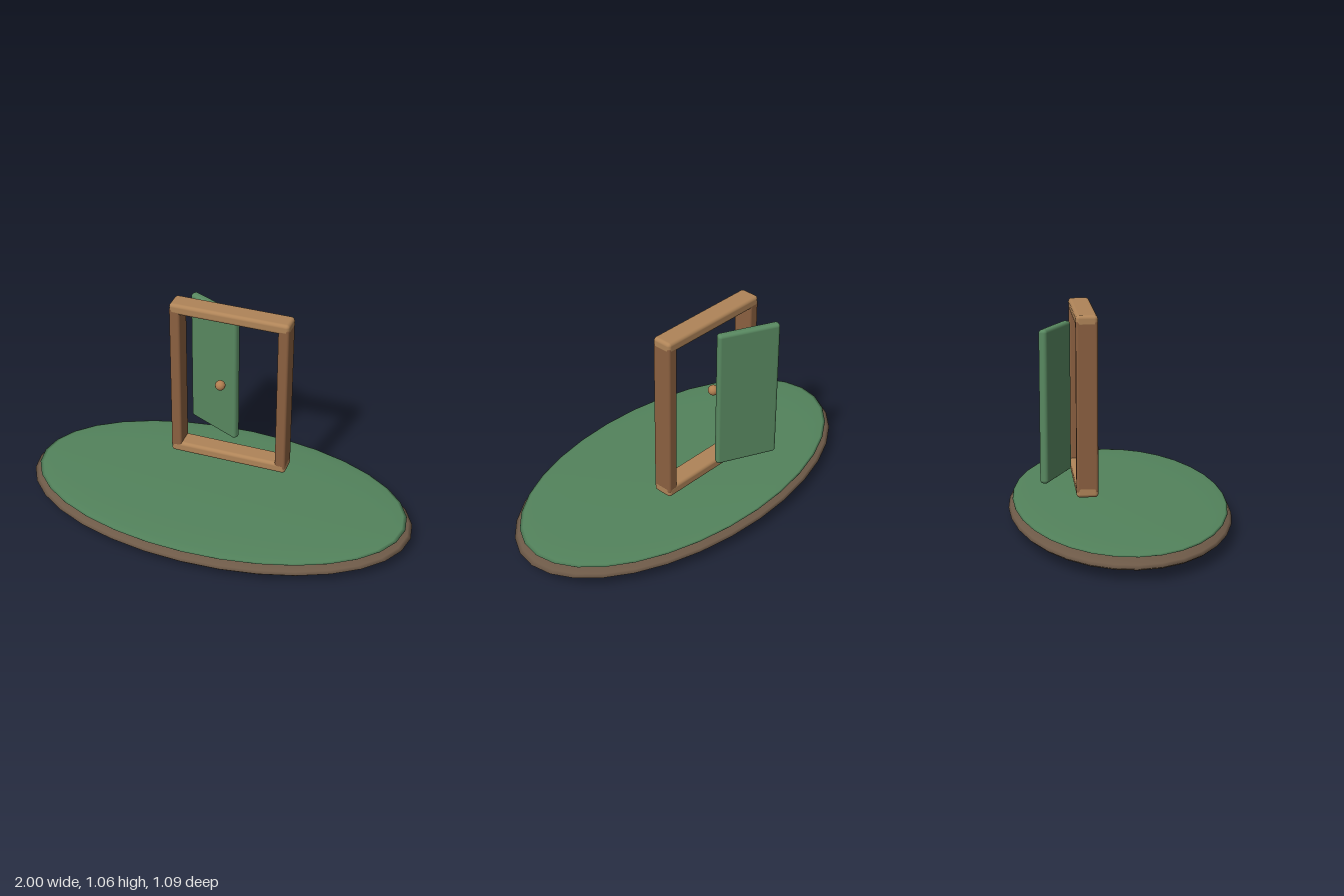
import * as THREE from 'three';
import { RoundedBoxGeometry } from 'three/addons/geometries/RoundedBoxGeometry.js';

function material(name, color) {
  const m = new THREE.MeshStandardMaterial({ color });
  m.name = name;
  return m;
}

export function createModel() {
  const model = new THREE.Group();
  model.name = 'doorOnIsland';

  const soil = material('soil brown', 0x6e5a48);
  const grass = material('grass green', 0x53835c);
  const postWood = material('dark wood', 0x8b6040);
  const beamWood = material('light wood', 0xaf8458);
  const doorPaint = material('door green', 0x588860);
  const knobWood = material('knob tan', 0xb07e50);

  function add(parent, name, geometry, mat, x, y, z) {
    const mesh = new THREE.Mesh(geometry, mat);
    mesh.name = name;
    mesh.position.set(x, y, z);
    parent.add(mesh);
    return mesh;
  }
  const box = (w, h, d, r) => new RoundedBoxGeometry(w, h, d, 3, r);

  // Island: two flattened ellipsoids, grass resting on soil
  const ball = new THREE.SphereGeometry(1, 32, 16);
  add(model, 'soilBase', ball, soil, 0, 0.059, 0).scale.set(1, 0.059, 0.545);
  add(model, 'grassTop', ball, grass, 0, 0.103, 0).scale.set(0.97, 0.018, 0.525);

  // Door frame floating above the grass
  const frame = new THREE.Group();
  frame.name = 'doorFrame';
  frame.position.z = -0.174;
  model.add(frame);
  for (const [name, y] of [['topBeam', 1.029], ['bottomBeam', 0.212]]) {
    add(frame, name, box(0.612, 0.056, 0.104, 0.017), beamWood, 0, y, 0);
  }
  for (const [name, side] of [['leftPost', 1], ['rightPost', -1]]) {
    add(frame, name, box(0.055, 0.83, 0.103, 0.012), postWood, side * 0.278, 0.62, 0);
  }

  // Door panel swung open behind the frame
  const door = add(model, 'doorPanel', box(0.314, 0.738, 0.042, 0.016), doorPaint, -0.135, 0.619, -0.316);
  door.rotation.y = -THREE.MathUtils.degToRad(25);

  // Round handle in the plane of the frame
  add(model, 'doorKnob', new THREE.SphereGeometry(0.026, 16, 12), knobWood, -0.056, 0.612, -0.17);

  return model;
}
